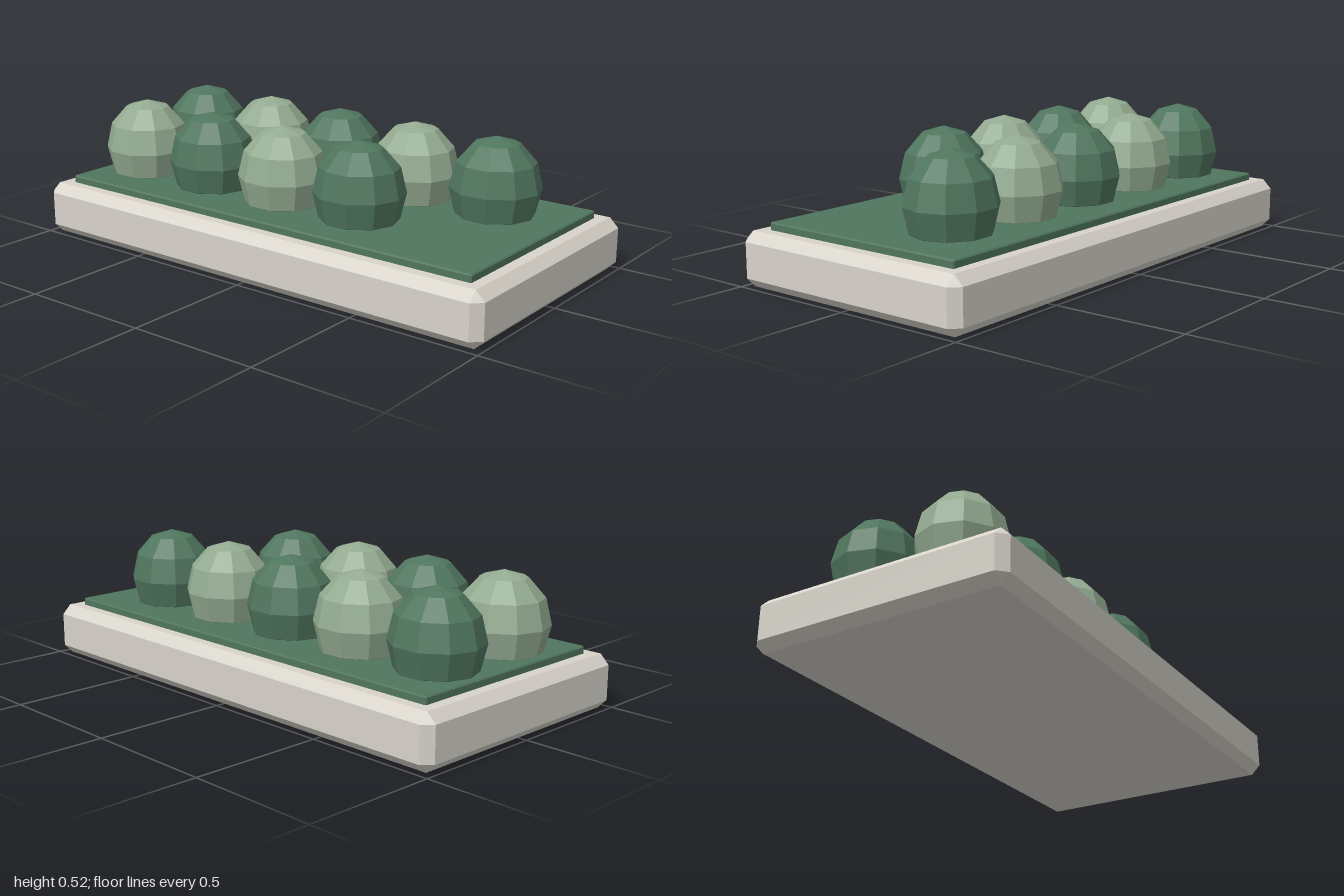
import * as THREE from 'three';
import { ConvexGeometry } from 'three/addons/geometries/ConvexGeometry.js';

const material = (color) => new THREE.MeshStandardMaterial({ color, flatShading: true });

// Box with all edges cut at 45 degrees, standing on y = 0
function chamferedBox(w, h, d, c) {
  const points = [];
  for (const sx of [-1, 1]) for (const sy of [-1, 1]) for (const sz of [-1, 1]) {
    for (let axis = 0; axis < 3; axis++) {
      const cut = [c, c, c];
      cut[axis] = 0;
      points.push(new THREE.Vector3(
        sx * (w / 2 - cut[0]), h / 2 + sy * (h / 2 - cut[1]), sz * (d / 2 - cut[2])));
    }
  }
  return new ConvexGeometry(points);
}

export function createModel() {
  const model = new THREE.Group();
  model.name = 'trayOfBalls';
  const dark = material(0x507659);
  const green = material(0x50765e);
  dark.color.copy(green.color);
  const light = material(0x93ab91);

  // Stone slab
  const base = new THREE.Mesh(chamferedBox(2, 0.2, 1, 0.035), material(0xd8d4cb));
  base.name = 'base';
  model.add(base);

  // Thin mat on the slab
  const mat = new THREE.Mesh(chamferedBox(1.846, 0.038, 0.85, 0.005), green);
  mat.name = 'mat';
  mat.position.y = 0.19;
  model.add(mat);

  // Two rows of faceted domes in alternating colours, last front place empty
  const domeShape = new THREE.SphereGeometry(1, 10, 6).scale(0.171, 0.191, 0.165);
  const rows = [{ name: 'back', z: -0.175, count: 5, first: 0 },
    { name: 'front', z: 0.175, count: 4, first: 1 }];
  for (const row of rows) {
    for (let i = 0; i < row.count; i++) {
      const dome = new THREE.Mesh(domeShape, (i + row.first) % 2 ? light : dark);
      dome.name = `${row.name}Dome${i + 1}`;
      dome.position.set(-0.75 + i * 0.35, 0.325, row.z);
      model.add(dome);
    }
  }
  return model;
}
